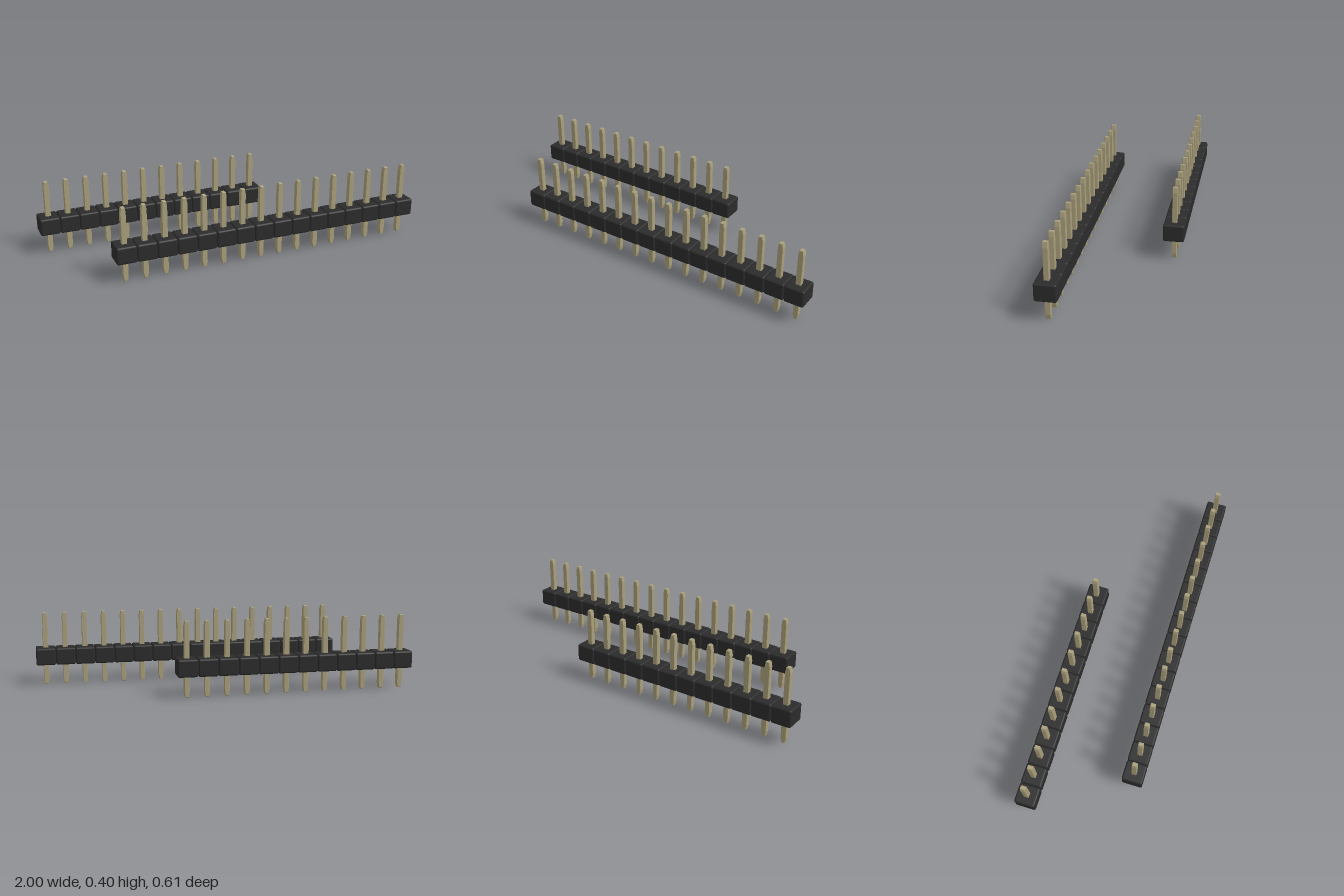
import * as THREE from 'three';
import { RoundedBoxGeometry } from 'three/addons/geometries/RoundedBoxGeometry.js';

const PITCH = 0.1077;
const HEIGHT = 0.402;

// Square pin whose ends taper across x, with finely bevelled edges.
function pinGeometry() {
  const bevel = 0.002;
  const w = 0.0142 - bevel, tip = 0.0095 - bevel;
  const bottom = bevel, top = HEIGHT - bevel, taper = 0.024;
  const outline = new THREE.Shape([
    [-tip, bottom], [tip, bottom], [w, bottom + taper], [w, top - taper],
    [tip, top], [-tip, top], [-w, top - taper], [-w, bottom + taper],
  ].map(([x, y]) => new THREE.Vector2(x, y)));
  const depth = 0.027 - 2 * bevel;
  return new THREE.ExtrudeGeometry(outline, {
    depth, bevelEnabled: true, bevelSize: bevel, bevelThickness: bevel, bevelSegments: 1,
  }).translate(0, 0, -depth / 2);
}

export function createModel() {
  const model = new THREE.Group();
  model.name = 'pinHeaders';
  const plastic = new THREE.MeshStandardMaterial({ name: 'blackPlastic', color: 0x2b2b2b });
  const metal = new THREE.MeshStandardMaterial({ name: 'paleBrass', color: 0xa99f7b });

  const blockGeometry = new RoundedBoxGeometry(0.1072, 0.094, 0.112, 2, 0.01);
  const pinShape = pinGeometry();

  // One row of housing blocks, each with a pin through it.
  function addRow(name, count, startX, z) {
    const row = new THREE.Group();
    row.name = name;
    row.position.set(startX, 0, z);
    for (let i = 0; i < count; i++) {
      const x = (i + 0.5) * PITCH;
      const block = new THREE.Mesh(blockGeometry, plastic);
      block.name = 'housingBlock';
      block.position.set(x, 0.16, 0);
      const pin = new THREE.Mesh(pinShape, metal);
      pin.name = 'pin';
      pin.position.x = x;
      row.add(block, pin);
    }
    model.add(row);
  }

  addRow('frontRow', 16, 1 - 16 * PITCH, 0.25);
  addRow('backRow', 12, -1, -0.249);
  return model;
}
